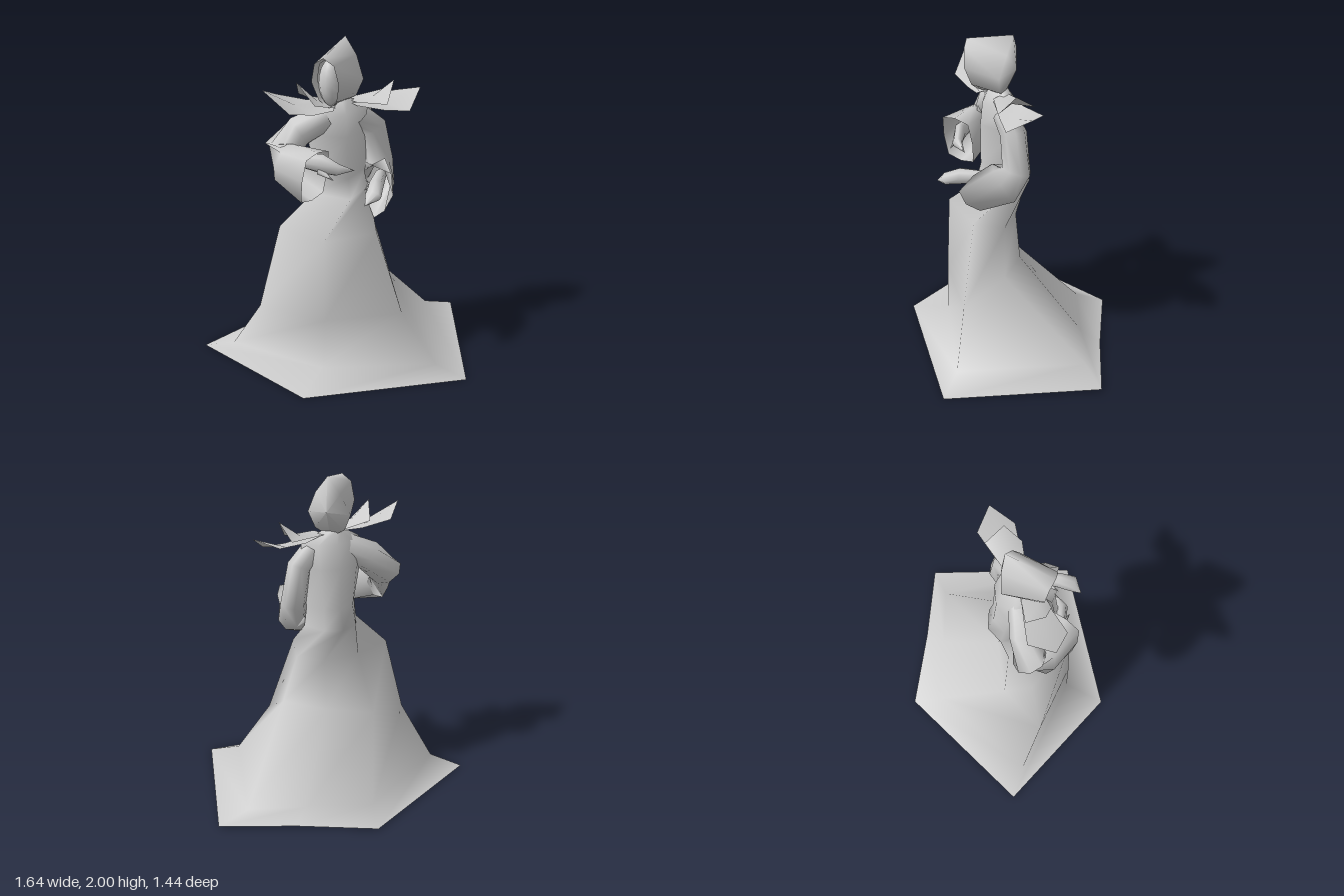
import * as THREE from 'three';

const V = (x, y, z) => new THREE.Vector3(x, y, z);
const grey = () => new THREE.MeshStandardMaterial({ color: 0xcccccc, side: THREE.DoubleSide });

function surface(name, positions, index) {
  const g = new THREE.BufferGeometry();
  g.setAttribute('position', new THREE.Float32BufferAttribute(positions, 3));
  g.setIndex(index);
  g.computeVertexNormals();
  const mesh = new THREE.Mesh(g, grey());
  mesh.name = name;
  return mesh;
}

// Smooth surface through closed rings of [x, y, z] points
function loft(name, rings) {
  const n = rings[0].length, index = [];
  for (let r = 0; r < rings.length - 1; r++) {
    for (let i = 0; i < n; i++) {
      const a = r * n + i, b = r * n + (i + 1) % n;
      index.push(a, b, b + n, a, b + n, a + n);
    }
  }
  return surface(name, rings.flat(2), index);
}

// Thin cupped leaf: triangle fan from a centre to its rim
function leaf(name, centre, rim) {
  const index = rim.flatMap((_, i) => [0, i + 1, (i + 1) % rim.length + 1]);
  return surface(name, [centre, ...rim].flat(), index);
}

// Limb along stations [x, y, z, half width, half height]; the last section
// is boxy for endPower < 1, diamond-like for endPower > 1, and faces endDir
function limb(name, stations, { ref = V(0, 1, 0), endPower = 1, endDir } = {}) {
  const centres = stations.map(s => V(s[0], s[1], s[2]));
  const last = stations.length - 1;
  return loft(name, stations.map(([, , , w, h], k) => {
    const along = centres[Math.min(k + 1, last)].clone().sub(centres[Math.max(k - 1, 0)]);
    const d = (k === last && endDir ? endDir.clone() : along).normalize();
    const side = d.clone().cross(ref).normalize();
    const up = side.clone().cross(d);
    const power = k === last ? endPower : 1;
    const shape = v => Math.abs(v) < 1e-6 ? 0 : Math.sign(v) * Math.abs(v) ** power;
    return Array.from({ length: 8 }, (_, i) => {
      const t = i * Math.PI / 4;
      return centres[k].clone().addScaledVector(side, w * shape(Math.cos(t)))
        .addScaledVector(up, h * shape(Math.sin(t))).toArray();
    });
  }));
}

// Skirt section: six [x, z] corners (right, front, left, back left, back, back right), back raised by lift
const skirtRing = (y, lift, corners) =>
  corners.map(([x, z], i) => [x, y + lift * [0, 0, 0, 1, 0.9, 0.5][i], z]);

// Bodice section with the same six corners, turned towards the model's left
const bodiceRing = (x, y, z, w, d) =>
  [[-1, 0], [0, 1], [1, 0], [0.6, -0.75], [0, -1], [-0.6, -0.75]].map(([s, t]) =>
    [x + 0.72 * w * s + 0.69 * d * t, y, z - 0.69 * w * s + 0.72 * d * t]);

export function createModel() {
  const model = new THREE.Group();

  // Gown from trailing hem to neck
  model.add(loft('gown', [
    skirtRing(0, 0.015, [[-0.82, 0.44], [0.02, 0.72], [0.82, 0.13], [0.41, -0.72], [-0.03, -0.57], [-0.5, -0.44]]),
    skirtRing(0.06, 0.01, [[-0.62, 0.42], [0.02, 0.46], [0.62, 0.13], [0.28, -0.57], [-0.05, -0.43], [-0.42, -0.28]]),
    skirtRing(0.38, 0.16, [[-0.41, 0.44], [0.03, 0.45], [0.41, 0.17], [0.24, -0.03], [-0.04, -0.02], [-0.3, 0.14]]),
    skirtRing(0.88, -0.04, [[-0.32, 0.33], [0.02, 0.43], [0.24, 0.17], [0.16, 0], [-0.02, 0], [-0.2, 0.12]]),
    bodiceRing(-0.03, 1.08, 0.09, 0.175, 0.175),
    bodiceRing(-0.03, 1.2, 0.09, 0.16, 0.14),
    bodiceRing(-0.03, 1.45, 0.1, 0.2, 0.13),
    bodiceRing(-0.02, 1.59, 0.11, 0.19, 0.1),
    bodiceRing(-0.03, 1.66, 0.12, 0.06, 0.06),
  ]));

  // Wide sleeves, open at the cuff
  model.add(limb('rightSleeve', [
    [-0.08, 1.55, 0.15, 0.08, 0.08],
    [-0.22, 1.47, 0.235, 0.095, 0.095],
    [-0.31, 1.36, 0.3, 0.1, 0.105],
    [-0.25, 1.3, 0.34, 0.11, 0.135],
    [-0.05, 1.265, 0.39, 0.11, 0.155],
  ], { endPower: 0.4 }));
  model.add(limb('leftSleeve', [
    [0.06, 1.55, 0.04, 0.07, 0.07],
    [0.12, 1.46, -0.04, 0.085, 0.07],
    [0.15, 1.24, -0.07, 0.095, 0.07],
    [0.18, 1.16, 0, 0.13, 0.085],
    [0.22, 1.13, 0.09, 0.18, 0.18],
  ], { ref: V(1, 0, 0.25), endPower: 1.4, endDir: V(-0.66, 0.25, 0.72) }));

  // Hands with thumbs
  model.add(
    limb('rightHand', [[-0.17, 1.34, 0.36, 0.035, 0.04], [-0.02, 1.34, 0.36, 0.035, 0.06],
      [0.07, 1.31, 0.34, 0.03, 0.035], [0.14, 1.29, 0.26, 0, 0]]),
    limb('rightThumb', [[-0.03, 1.3, 0.37, 0.025, 0.025], [0.07, 1.26, 0.39, 0, 0]]),
    limb('leftHand', [[0.21, 1.2, 0.05, 0.035, 0.035], [0.26, 1.2, 0.24, 0.045, 0.05],
      [0.28, 1.18, 0.32, 0.05, 0.035], [0.26, 1.14, 0.39, 0, 0]]),
    limb('leftThumb', [[0.22, 1.19, 0.17, 0.025, 0.025], [0.2, 1.18, 0.27, 0, 0]]),
  );

  // Hood: half outlines of the back edge and face opening, mirrored about the head's centre
  const cx = -0.03;
  const outline = half => [
    ...half.map(([x, y, z]) => [cx - x, y, z]),
    ...half.slice(1, -1).reverse().map(([x, y, z]) => [cx + x, y, z]),
  ];
  const back = outline([[0, 2, 0.02], [0.075, 1.9, 0.03], [0.13, 1.77, 0.055], [0.09, 1.67, 0.07], [0, 1.62, 0.08]]);
  const rim = outline([[0, 1.94, 0.31], [0.06, 1.9, 0.3], [0.085, 1.79, 0.29], [0.055, 1.68, 0.26], [0, 1.63, 0.24]]);
  const inner = rim.map(([x, y, z]) => [cx + (x - cx) * 0.85, 1.78 + (y - 1.78) * 0.9, z - 0.05]);
  model.add(loft('hood', [back.map(() => [cx, 1.79, 0]), back, rim]));
  model.add(loft('hoodLining', [rim, inner]));

  // Face inside the hood
  const face = new THREE.Mesh(new THREE.SphereGeometry(1, 12, 10), grey());
  face.name = 'face';
  face.scale.set(0.072, 0.14, 0.085);
  face.position.set(cx, 1.775, 0.2);
  model.add(face);

  // Collar: a long cupped outer leaf and a short raised leaf on each shoulder
  model.add(
    leaf('leftOuterCollar', [0.19, 1.59, -0.09], [[0.335, 1.67, -0.24], [0.17, 1.63, -0.24], [0.07, 1.62, -0.08],
      [-0.01, 1.64, 0.08], [0.08, 1.62, 0.1], [0.22, 1.58, 0], [0.335, 1.57, -0.08]]),
    leaf('leftInnerCollar', [0.12, 1.645, -0.03], [[0.225, 1.74, -0.1], [0.12, 1.65, -0.17], [-0.02, 1.64, 0.06],
      [0.08, 1.64, 0.1], [0.23, 1.62, 0.01]]),
    leaf('rightOuterCollar', [-0.2, 1.65, 0.32], [[-0.34, 1.76, 0.455], [-0.34, 1.69, 0.29], [-0.19, 1.65, 0.2],
      [-0.05, 1.64, 0.12], [0, 1.62, 0.24], [-0.08, 1.61, 0.33], [-0.17, 1.64, 0.455]]),
    leaf('rightInnerCollar', [-0.1, 1.67, 0.25], [[-0.19, 1.79, 0.33], [-0.23, 1.69, 0.23], [-0.06, 1.64, 0.12],
      [0, 1.63, 0.22], [-0.08, 1.66, 0.32]]),
  );

  return model;
}
